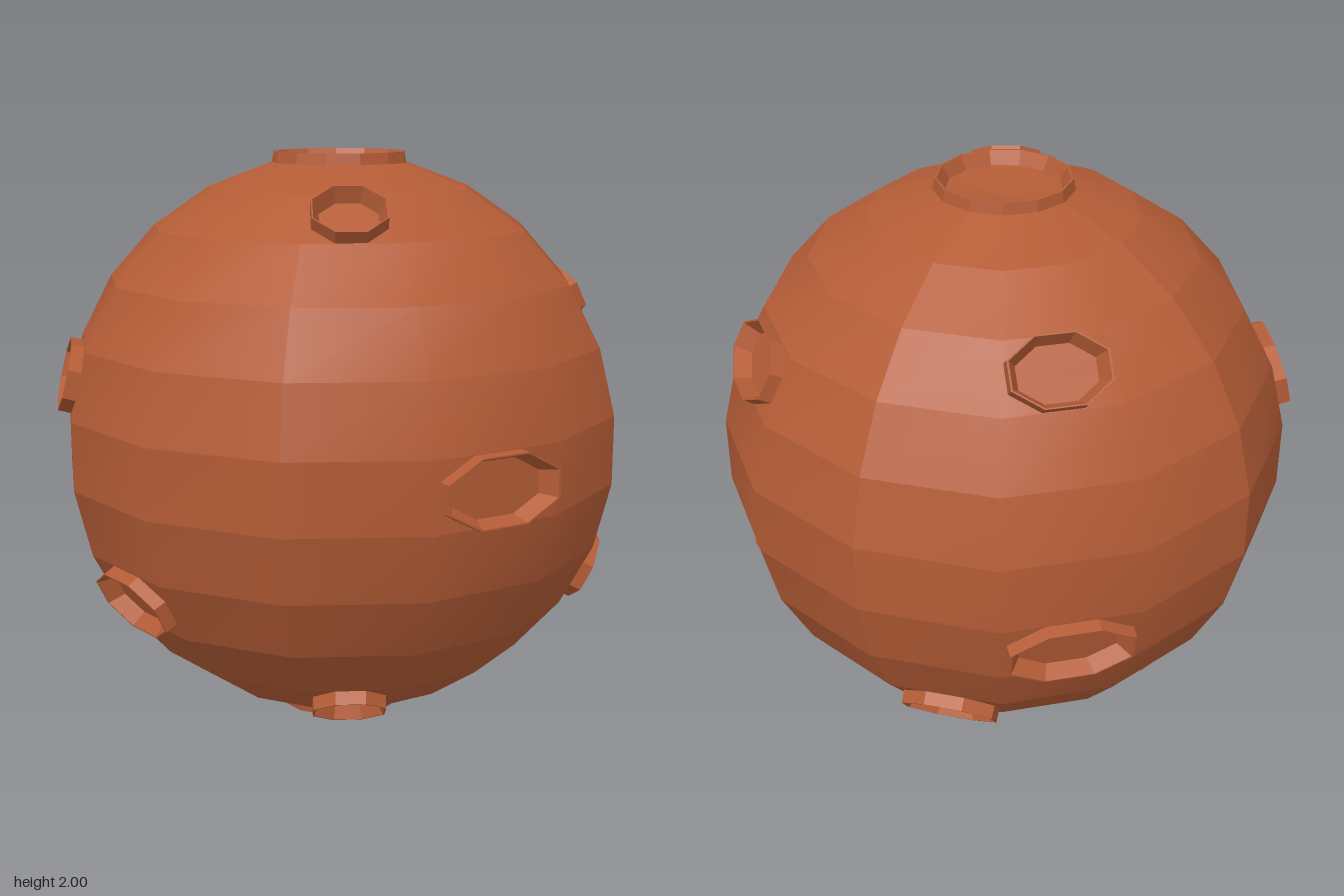
import * as THREE from 'three';
import { mergeGeometries } from 'three/addons/utils/BufferGeometryUtils.js';

const N = 13, R = 0.991;
const STEP = (2 * Math.PI) / N, ROW = Math.PI / N;
// Longitudes where the smooth shading is broken
const SEAMS = [0, 3, 7, 10, 13];
// Crater cells: [longitude column, latitude row]
const CRATERS = [
  [2, 2], [5, 5], [1, 6], [4, 8], [2, 10], [11, 4],
  [12, 8], [9, 9], [8, 3], [8, 7], [6, 10],
];

const flat = (g) => {
  const f = g.toNonIndexed();
  f.computeVertexNormals();
  return f;
};
const lathe = (pts, sides, start) =>
  new THREE.LatheGeometry(pts.map(([r, y]) => new THREE.Vector2(r, y)), sides, start);

// Sphere in bands, smooth around each sector, with the crater cells left open
function bodyGeometry() {
  const parts = [];
  for (let row = 1; row < N - 1; row++) {
    const t0 = row * ROW, t1 = t0 + ROW;
    const y0 = R * Math.cos(t0), y1 = R * Math.cos(t1);
    for (let s = 0; s < SEAMS.length - 1; s++) {
      const a = SEAMS[s], b = SEAMS[s + 1];
      const g = new THREE.CylinderGeometry(R * Math.sin(t0), R * Math.sin(t1), y0 - y1,
        b - a, 1, true, Math.PI / 2 - b * STEP, (b - a) * STEP);
      g.translate(0, (y0 + y1) / 2, 0);
      g.clearGroups();
      g.computeVertexNormals();
      const old = Array.from(g.index.array), kept = [];
      for (let i = 0; i < b - a; i++) {
        const col = b - 1 - i;
        if (!CRATERS.some(([c, r]) => c === col && r === row)) kept.push(...old.slice(i * 6, i * 6 + 6));
      }
      g.setIndex(kept);
      parts.push(g);
    }
  }
  return mergeGeometries(parts);
}

// Crater on one cell: raised eight-sided rim, sunken floor and the ground around it
function makeCrater(col, row, material) {
  const group = new THREE.Group();
  group.name = 'crater';
  const mid = (col + 0.5) * STEP;
  const out = new THREE.Vector3(Math.cos(mid), 0, Math.sin(mid));
  const edge = (t) => out.clone().multiplyScalar(R * Math.sin(t) * Math.cos(STEP / 2)).setY(R * Math.cos(t));
  const t0 = row * ROW, t1 = t0 + ROW;
  const top = edge(t0), bottom = edge(t1);
  const h = top.distanceTo(bottom) / 2;
  const half = (t) => R * Math.sin(t) * Math.sin(STEP / 2);
  const w0 = half(t0), w1 = half(t1), a = 0.46 * (w0 + w1), b = h * 0.98;

  const right = new THREE.Vector3(Math.sin(mid), 0, -Math.cos(mid));
  const up = top.clone().sub(bottom).normalize();
  const normal = right.clone().cross(up);
  const frame = new THREE.Matrix4().makeBasis(right, up, normal)
    .setPosition(top.clone().add(bottom).multiplyScalar(0.5));

  // Ground: the cell with an octagonal opening
  const shape = new THREE.Shape([[-w1, -h], [w1, -h], [w0, h], [-w0, h]].map(([x, y]) => new THREE.Vector2(x, y)));
  const k = 1 / Math.cos(Math.PI / 8), hole = [];
  for (let i = 0; i < 8; i++) {
    const t = ((i + 0.5) * Math.PI) / 4;
    hole.push(new THREE.Vector2(a * k * Math.cos(t), b * k * Math.sin(t)));
  }
  shape.holes.push(new THREE.Path(hole));
  const ground = new THREE.ShapeGeometry(shape);
  ground.applyMatrix4(frame);
  // Turn the normals so the shading joins the neighbouring cells
  const p = ground.attributes.position, n = ground.attributes.normal;
  const v = new THREE.Vector3(), axis = new THREE.Vector3(0, 1, 0);
  for (let i = 0; i < p.count; i++) {
    const d = Math.atan2(p.getZ(i), p.getX(i)) - mid;
    const turn = Math.atan2(Math.sin(d), Math.cos(d));
    const seam = SEAMS.includes(turn > 0 ? col + 1 : col);
    v.copy(normal).applyAxisAngle(axis, seam ? 0 : -turn);
    n.setXYZ(i, v.x, v.y, v.z);
  }
  const groundMesh = new THREE.Mesh(ground, material);
  groundMesh.name = 'craterGround';

  // Thin rim sloping in to the floor
  const rim = lathe([[k, 0], [k * 0.99, 0.045], [k * 0.95, 0.045], [k * 0.78, -0.01], [0, -0.01]], 8, Math.PI / 8);
  rim.rotateX(Math.PI / 2);
  rim.scale(a, b, 1);
  rim.applyMatrix4(frame);
  const rimMesh = new THREE.Mesh(flat(rim), material);
  rimMesh.name = 'craterRim';
  group.add(groundMesh, rimMesh);
  return group;
}

export function createModel() {
  const model = new THREE.Group();
  model.name = 'crateredPlanet';
  const rust = new THREE.MeshStandardMaterial({ color: 0xb45c36 });
  rust.name = 'rust';

  const body = new THREE.Mesh(bodyGeometry(), rust);
  body.name = 'planetSurface';
  model.add(body);

  // Large craters closing both poles
  const r = R * Math.sin(ROW), y = R * Math.cos(ROW);
  for (const end of ['north', 'south']) {
    const g = lathe([[r, y], [0.23, 1], [0.222, 1], [0.197, 0.955], [0, 0.93]], N, Math.PI / 2);
    if (end === 'south') g.rotateX(Math.PI);
    const pole = new THREE.Mesh(flat(g), rust);
    pole.name = end + 'PoleCrater';
    model.add(pole);
  }

  for (const [col, row] of CRATERS) model.add(makeCrater(col, row, rust));
  model.children.forEach((c) => { c.position.y = 1; });
  return model;
}
